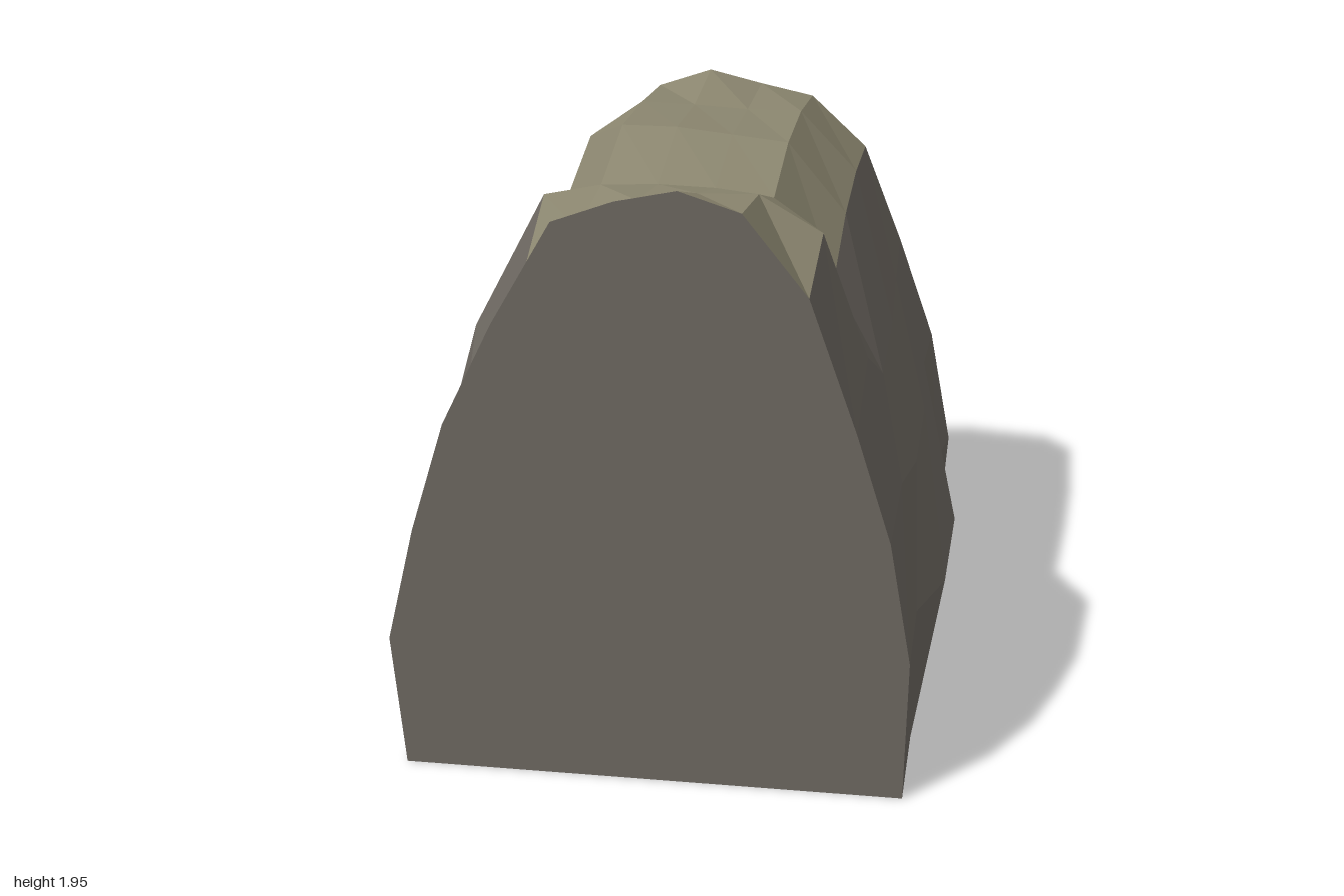
import * as THREE from 'three';

// Stations along the ridge, front to back
const Z = [1, 0.6, 0.2, -0.2, -0.6, -1];
// Crest columns, left to right, and their heights at each station
const crestX = [0.48, 0.28, 0.09, -0.1, -0.29, -0.48];
const crestY = [
  [1.64, 1.89, 1.95, 1.91, 1.84, 1.51],
  [1.72, 1.835, 1.83, 1.8, 1.7, 1.49],
  [1.44, 1.71, 1.735, 1.74, 1.73, 1.69],
  [1.55, 1.79, 1.81, 1.83, 1.83, 1.58],
  [1.59, 1.8, 1.8, 1.81, 1.815, 1.68],
  [1.575, 1.76, 1.8, 1.845, 1.78, 1.52],
];
// Flank points [x, y] at each station: bulge, middle, shoulder
const leftFlank = [
  [[0.81, 0.47], [0.74, 0.87], [0.63, 1.22]],
  [[0.81, 0.5], [0.75, 0.94], [0.63, 1.34]],
  [[0.88, 0.4], [0.77, 0.83], [0.65, 1.13]],
  [[0.89, 0.43], [0.77, 0.84], [0.65, 1.16]],
  [[0.8, 0.47], [0.74, 0.85], [0.63, 1.18]],
  [[0.83, 0.43], [0.75, 0.85], [0.62, 1.22]],
];
const rightFlank = [
  [[0.84, 0.44], [0.75, 0.82], [0.64, 1.18]],
  [[0.84, 0.46], [0.78, 0.8], [0.64, 1.2]],
  [[0.875, 0.47], [0.82, 0.86], [0.72, 1.23]],
  [[0.89, 0.47], [0.83, 0.86], [0.73, 1.23]],
  [[0.89, 0.47], [0.79, 0.86], [0.64, 1.22]],
  [[0.81, 0.42], [0.74, 0.85], [0.62, 1.22]],
];

// Cross-section from the left foot over the crest to the right foot
function section(j) {
  const z = Z[j];
  const inner = j > 0 && j < Z.length - 1;
  const drift = inner ? [1.14, 1.14, 1.08] : [1, 1, 1];
  const flank = (rows, side) =>
    rows[j].map(([x, y], k) => [side * x, y, z * drift[k]]);
  return [
    [0.8, 0, z],
    ...flank(leftFlank, 1),
    ...crestX.map((x, k) => [x, crestY[j][k], z]),
    ...flank(rightFlank, -1).reverse(),
    [-0.8, 0, z],
  ];
}

function facetMesh(name, triangles, material) {
  const geometry = new THREE.BufferGeometry();
  geometry.setAttribute('position', new THREE.Float32BufferAttribute(triangles.flat(), 3));
  geometry.computeVertexNormals(); // unshared corners give flat facets
  const mesh = new THREE.Mesh(geometry, material);
  mesh.name = name;
  return mesh;
}

export function createModel() {
  const group = new THREE.Group();
  group.name = 'rockRidge';

  const paint = (name, color) => {
    const m = new THREE.MeshStandardMaterial({ color, side: THREE.DoubleSide });
    m.name = name;
    m.flatShading = true;
    return m;
  };
  const stone = paint('stoneGrey', 0x6d6861);
  const moss = paint('dryTan', 0x8c8770);

  const rings = Z.map((_, j) => section(j));

  // Strip of facets between profile points first and last
  const strip = (first, last) => {
    const out = [];
    for (let j = 0; j < rings.length - 1; j++) {
      for (let i = first; i < last; i++) {
        const a = rings[j][i], b = rings[j + 1][i];
        const c = rings[j + 1][i + 1], d = rings[j][i + 1];
        out.push(...a, ...b, ...c, ...a, ...c, ...d);
      }
    }
    return out;
  };
  group.add(facetMesh('leftFlank', strip(0, 4), stone));
  group.add(facetMesh('crest', strip(4, 9), moss));
  group.add(facetMesh('rightFlank', strip(9, 13), stone));

  // Flat cut ends; the underside stays open
  const cap = (ring) => {
    const out = [];
    for (let i = 0; i < ring.length - 1; i++) {
      out.push(0, 0, ring[0][2], ...ring[i], ...ring[i + 1]);
    }
    return out;
  };
  group.add(facetMesh('frontFace', cap(rings[0]), stone));
  group.add(facetMesh('backFace', cap([...rings[rings.length - 1]].reverse()), stone));

  return group;
}
